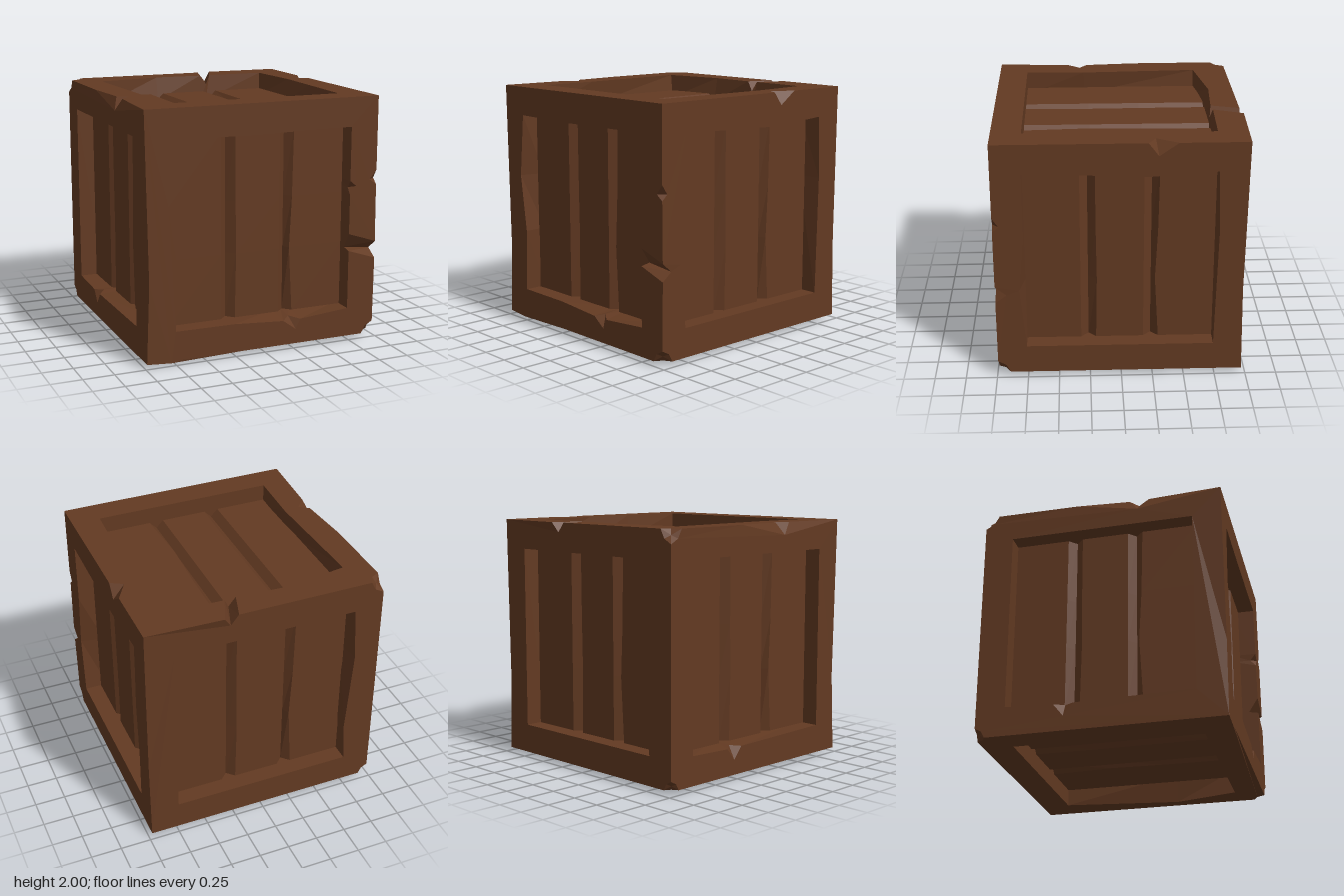
import * as THREE from 'three';

const H = 0.98;        // half size of the crate
const O = 0.745;       // half size of the recessed opening
const FLOOR = -0.14;   // depth of the planks below the frame
const V3 = (x, y, z) => new THREE.Vector3(x, y, z);

// Each side: its right (U), up (V) and outward (W) directions
const SIDES = {
  front: [V3(1, 0, 0), V3(0, 1, 0), V3(0, 0, 1)],
  right: [V3(0, 0, -1), V3(0, 1, 0), V3(1, 0, 0)],
  back: [V3(-1, 0, 0), V3(0, 1, 0), V3(0, 0, -1)],
  left: [V3(0, 0, 1), V3(0, 1, 0), V3(-1, 0, 0)],
  top: [V3(1, 0, 0), V3(0, 0, -1), V3(0, 1, 0)],
  bottom: [V3(1, 0, 0), V3(0, 0, 1), V3(0, -1, 0)],
};

// Worn outer edges, listed along the positive axis. An object is a chip with
// one apex per side; null means the crack runs on across that side's frame.
const EDGES = {
  'front,right': [
    [0.985, -0.345, 0.98], { right: [0.98, -0.28, 0.89], front: null }, [0.985, -0.205, 0.98],
    [0.98, 0.265, 0.98], { front: [0.92, 0.31, 0.98], right: [0.98, 0.31, 0.93] }, [0.98, 0.385, 0.98],
  ],
  'right,top': [
    [0.98, 0.98, -0.44], { right: [0.98, 0.875, -0.29], top: [0.88, 0.98, -0.27] }, [0.98, 0.98, -0.21],
  ],
  'left,top': [
    [-0.975, 0.98, -0.2],
    [-0.94, 0.98, 0.23], { top: [-0.86, 0.98, 0.29], left: [-0.98, 0.88, 0.3] }, [-0.945, 0.98, 0.39],
  ],
  'back,top': [
    [0.235, 0.98, -0.98], { back: [0.3, 0.9, -0.98], top: null }, [0.355, 0.98, -1.0],
  ],
  'bottom,front': [[-0.78, -0.995, 0.98], [-0.7, -0.98, 0.98]],
  'front,left': [[-0.955, -0.35, 0.98]],
  'back,right': [[0.98, -0.3, -0.965]],
};

// Broken corners and their size
const CORNERS = { '1,-1,1': 0.1, '-1,1,-1': 0.11, '-1,-1,-1': 0.08 };

// Opening rims, anticlockwise as [u, v, lift]; objects are chips or crack ends
const RIMS = {
  front: [
    [-O, -O], [-0.25, -0.75], [0.17, -0.78], { face: [0.28, -0.86], wall: [0.24, -0.76, -0.06] }, [0.32, -0.78],
    [O, -O], [O, -0.265], { face: null, wall: [O, -0.25, -0.08] }, [O, -0.125],
    [O, 0.195], { face: [0.8, 0.265], wall: [0.75, 0.25, -0.05] }, [O, 0.31],
    [O, O], [-0.2, 0.735], [-O, O], [-0.795, 0.235], [-0.73, -0.235],
  ],
  right: [[-O, -O], [O, -O], [0.765, 0.235], [O, O], [0.23, 0.71], [-O, O], [-O, 0.235], [-0.79, -0.24]],
  back: [[-O, -O], [O, -O], [0.725, -0.4], [0.775, 0.3], [O, O], [-O, O]],
  left: [
    [-O, -O], [-0.36, -0.76], { face: [-0.28, -0.86], wall: [-0.28, -0.75, -0.06] }, [-0.2, -0.76],
    [O, -O], [O, O], [-O, O],
  ],
  top: [
    [-O, -O], [O, -O], [0.765, -0.2], [0.78, 0.23], [O, 0.75],
    [0.26, 0.765], { face: null, wall: [0.22, O, -0.08] }, [0.165, 0.755],
    [-0.24, 0.78], [-0.765, 0.7], [-0.725, -0.26],
  ],
  bottom: [[-O, -O], [O, -O], [0.78, 0.24, 0.035], [O, O], [-O, O]],
};

// Side whose outward direction is d
const sideFacing = (d) => Object.keys(SIDES).find((k) => SIDES[k][2].dot(d) > 0.5);

const material = new THREE.MeshStandardMaterial({ color: 0x633a22, flatShading: true });

function makeMesh(name, triangles) {
  const geometry = new THREE.BufferGeometry().setFromPoints(triangles);
  geometry.computeVertexNormals();
  const mesh = new THREE.Mesh(geometry, material);
  mesh.name = name;
  return mesh;
}

const quad = (out, a, b, c, d) => out.push(a, b, c, a, c, d);

// Turns a closed list so that it begins just after its gap
function startAfterGap(list) {
  const i = list.findIndex((p) => p.gap);
  return [...list.slice(i + 1), ...list.slice(0, i)];
}

// Outer outline of one side; facets of chips and broken corners go to tris
function outerOutline(side, tris) {
  const [U, V, W] = SIDES[side];
  const dirs = [U, V, U.clone().negate(), V.clone().negate()];
  const outline = [];
  dirs.forEach((dir, i) => {
    const before = dirs[(i + 3) % 4];
    const outward = dirs[(i + 3) % 4];
    // corner at the start of this edge
    const sign = W.clone().add(before).sub(dir);
    const corner = sign.clone().multiplyScalar(H);
    const r = CORNERS[sign.toArray().map(Math.round).join()];
    if (r) {
      const a = corner.clone().addScaledVector(before, -r);
      const b = corner.clone().addScaledVector(before, -r * 0.65).addScaledVector(dir, r * 0.65);
      const c = corner.clone().addScaledVector(dir, r);
      const mid = corner.clone().addScaledVector(sign, -r * 0.42);
      tris.push(b, a, mid, c, b, mid);
      outline.push(a, b, c);
    } else outline.push(corner);
    // wear along the edge
    const other = sideFacing(outward);
    const items = (EDGES[[side, other].sort().join()] || []).slice();
    if (dir.x + dir.y + dir.z < 0) items.reverse();
    items.forEach((item, k) => {
      if (Array.isArray(item)) return outline.push(V3(...item));
      const b = V3(...(item[other] || [0, 0, 0]));
      if (!item[side]) return outline.push({ gap: b });
      const a = V3(...item[side]);
      outline.push(a);
      if (item[other] && side < other) {
        tris.push(a, V3(...items[k - 1]), b, V3(...items[k + 1]), a, b);
      }
    });
  });
  return outline;
}

function makeSide(side) {
  const [U, V, W] = SIDES[side];
  const at = (u, v, w = 0) => V3(0, 0, 0).addScaledVector(U, u).addScaledVector(V, v).addScaledVector(W, H + w);
  const flat = (p) => new THREE.Vector2(p.dot(U), p.dot(V));
  const group = new THREE.Group();
  group.name = side + 'Side';

  // Frame with its chips
  const frame = [];
  let outer = outerOutline(side, frame);
  const rim = RIMS[side];
  let inner = rim.map((p) => {
    if (Array.isArray(p)) return at(...p);
    return p.face ? at(...p.face) : { gap: at(...p.wall) };
  });
  rim.forEach((p, i) => {
    if (p.face) {
      const b = at(...p.wall);
      frame.push(inner[i - 1], inner[i], b, inner[i], inner[i + 1], b);
    }
  });
  const gap = outer.find((p) => p.gap);
  let points, faces;
  if (gap) {
    // a crack splits the frame from opening to outer edge
    const end = inner.find((p) => p.gap).gap;
    outer = startAfterGap(outer);
    inner = startAfterGap(inner);
    quad(frame, inner.at(-1), outer.at(-1), gap.gap, end);
    quad(frame, outer[0], inner[0], end, gap.gap);
    points = [...outer, ...inner.reverse()];
    faces = THREE.ShapeUtils.triangulateShape(points.map(flat), []);
  } else {
    points = [...outer, ...inner];
    faces = THREE.ShapeUtils.triangulateShape(outer.map(flat), [inner.map(flat)]);
  }
  faces.forEach((f) => frame.push(...f.map((i) => points[i])));
  group.add(makeMesh(side + 'Frame', frame));

  // Inner walls of the recess, reaching below the grooves
  const walls = [];
  const lip = rim.map((p) => p.wall || p);
  const foot = ([u, v]) => {
    const c = [u, v].map((n) => THREE.MathUtils.clamp(n, -O, O));
    const k = Math.abs(u) >= Math.abs(v) ? 0 : 1;
    c[k] = Math.sign(c[k]) * O;
    return at(c[0], c[1], FLOOR - 0.06);
  };
  lip.forEach((a, i) => {
    const b = lip[(i + 1) % lip.length];
    quad(walls, at(...a), at(...b), foot(b), foot(a));
  });
  group.add(makeMesh(side + 'RecessWalls', walls));

  // Three planks parted by two V grooves with slightly worn lips
  const planks = [];
  const section = [[-O, 0], [-0.31, 0], [-0.25, -0.06], [-0.19, 0], [0.19, 0], [0.25, -0.06], [0.31, 0], [O, 0]];
  const rows = [[-O, 0], [-0.22, -0.03], [0.2, -0.01], [O, 0]];
  const plankPoint = (i, [v, wear]) => at(section[i][0] + (i === 6 ? wear : i === 3 ? -wear * 0.3 : 0), v, FLOOR + section[i][1]);
  for (let r = 0; r < rows.length - 1; r++) {
    for (let i = 0; i < section.length - 1; i++) {
      quad(planks, plankPoint(i, rows[r]), plankPoint(i + 1, rows[r]), plankPoint(i + 1, rows[r + 1]), plankPoint(i, rows[r + 1]));
    }
  }
  group.add(makeMesh(side + 'Planks', planks));
  return group;
}

export function createModel() {
  const crate = new THREE.Group();
  crate.name = 'crate';
  const body = new THREE.Group();
  body.name = 'crateBody';
  Object.keys(SIDES).forEach((side) => body.add(makeSide(side)));
  body.position.set(-0.007, 1.015, 0.01);
  crate.add(body);
  return crate;
}
